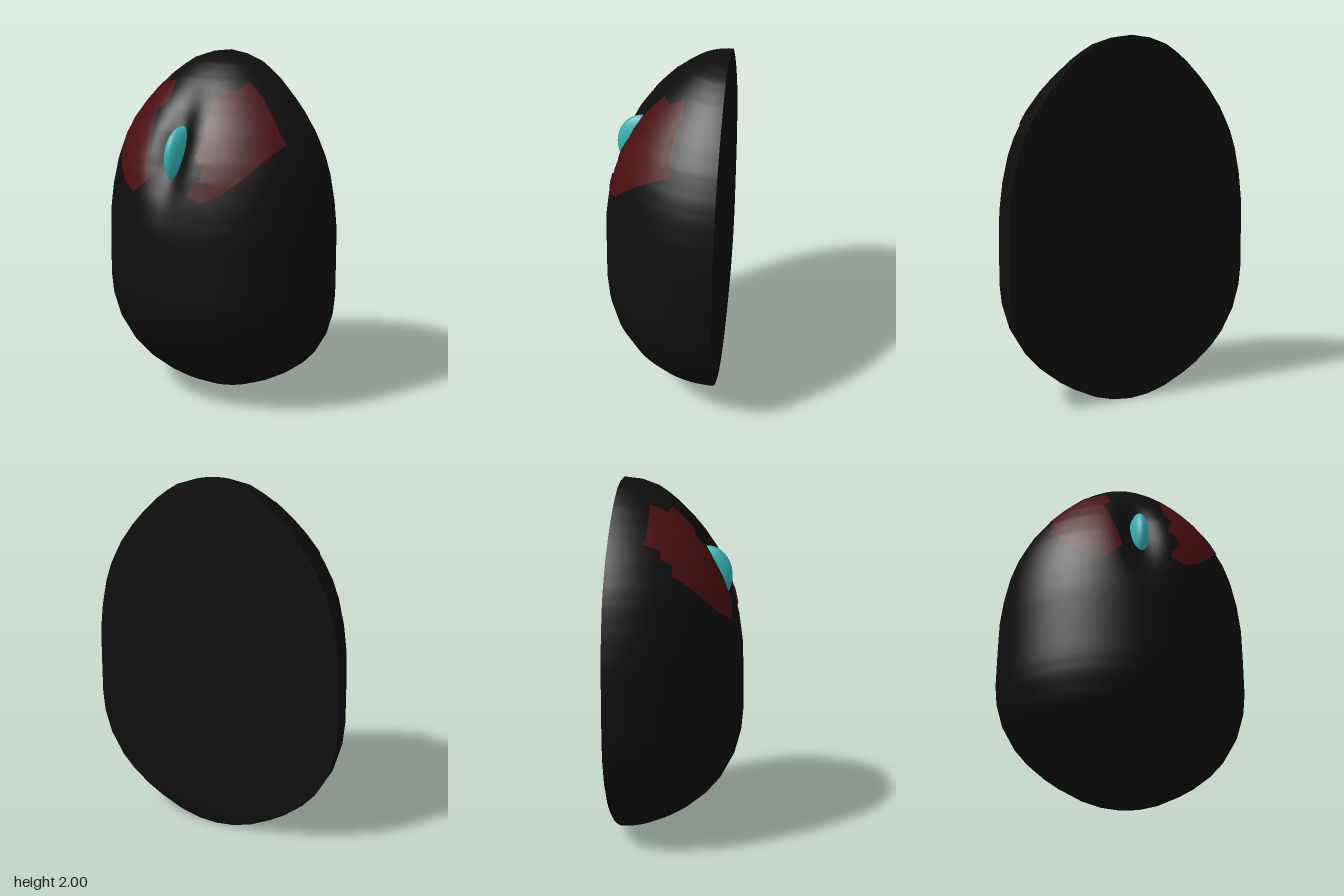
import * as THREE from 'three';
import { mergeVertices } from 'three/addons/utils/BufferGeometryUtils.js';

const HALF_WIDTH = 0.725, DEPTH = 0.67, BACK = -0.335;

// Egg outline: [height, fraction of full width]
const PROFILE = [
  [0, 0], [0.01, 0.15], [0.04, 0.3], [0.1, 0.475], [0.15, 0.59], [0.23, 0.73], [0.31, 0.83], [0.44, 0.933],
  [0.57, 0.985], [0.68, 1], [0.88, 0.998], [1.07, 0.993], [1.22, 0.968], [1.365, 0.925], [1.46, 0.88],
  [1.54, 0.825], [1.6, 0.78], [1.7, 0.68], [1.77, 0.595], [1.86, 0.47], [1.91, 0.38], [1.95, 0.295],
  [1.985, 0.155], [2, 0],
];

function widthAt(y) {
  for (let i = 1; i < PROFILE.length; i++) {
    const [y0, w0] = PROFILE[i - 1], [y1, w1] = PROFILE[i];
    if (y <= y1) return w0 + (w1 - w0) * (y - y0) / (y1 - y0);
  }
  return 0;
}

// Shallow hollow around the beak
const hollow = (x, y) => 0.085 * Math.exp(-0.5 * ((x / 0.07) ** 2 + ((y - 1.5) / 0.17) ** 2));

function depthAt(x, y) {
  const w = widthAt(y);
  return DEPTH * w * Math.sqrt(Math.max(0, 1 - (x / (HALF_WIDTH * w)) ** 2)) - hollow(x, y);
}

// Rounded front half of the egg
function shellGeometry() {
  const points = [];
  PROFILE.forEach(([y, w], i) => {
    if (i > 0) {
      const [py, pw] = PROFILE[i - 1];
      for (const t of [1 / 3, 2 / 3]) points.push(new THREE.Vector2(pw + (w - pw) * t, py + (y - py) * t));
    }
    points.push(new THREE.Vector2(w, y));
  });
  const g = new THREE.LatheGeometry(points, 72, -Math.PI / 2, Math.PI);
  const p = g.attributes.position;
  for (let i = 0; i < p.count; i++) {
    const x = p.getX(i) * HALF_WIDTH, y = p.getY(i);
    const dent = p.getZ(i) > 0.2 ? hollow(x, y) : 0;
    p.setXYZ(i, x, y, BACK + p.getZ(i) * DEPTH - dent);
  }
  g.computeVertexNormals();
  return g;
}

// Flat back
function backGeometry() {
  const side = s => PROFILE.map(([y, w]) => new THREE.Vector2(s * w * HALF_WIDTH, y));
  const outline = [...side(1), ...side(-1).reverse().slice(1, -1)];
  return new THREE.ShapeGeometry(new THREE.Shape(outline)).rotateY(Math.PI).translate(0, 0, BACK);
}

// Flat outline, finely divided and laid over the shell
function patchGeometry(outline) {
  const flat = new THREE.ShapeGeometry(new THREE.Shape(outline.map(([x, y]) => new THREE.Vector2(x, y)))).toNonIndexed();
  const p = flat.attributes.position;
  let tris = [];
  for (let i = 0; i < p.count; i += 3) {
    tris.push([0, 1, 2].map(k => new THREE.Vector2(p.getX(i + k), p.getY(i + k))));
  }
  const mid = (a, b) => a.clone().add(b).multiplyScalar(0.5);
  for (let n = 0; n < 4; n++) {
    tris = tris.flatMap(([a, b, c]) => {
      const ab = mid(a, b), bc = mid(b, c), ca = mid(c, a);
      return [[a, ab, ca], [ab, b, bc], [ca, bc, c], [ab, bc, ca]];
    });
  }
  const positions = tris.flat().flatMap(v => [v.x * 1.01, v.y, BACK + depthAt(v.x, v.y) * 1.01 + 0.002]);
  let g = new THREE.BufferGeometry();
  g.setAttribute('position', new THREE.Float32BufferAttribute(positions, 3));
  g = mergeVertices(g, 1e-5);
  g.computeVertexNormals();
  return g;
}

const RIGHT_PATCH = [
  [-0.48, 1.6], [-0.45, 1.645], [-0.47, 1.68], [-0.37, 1.78], [-0.265, 1.87], [-0.23, 1.83], [-0.16, 1.85],
  [-0.14, 1.74], [-0.195, 1.7], [-0.115, 1.345], [-0.22, 1.255], [-0.32, 1.3], [-0.41, 1.39], [-0.495, 1.52],
  [-0.46, 1.565],
];
const LEFT_PATCH = [
  [0.16, 1.825], [0.235, 1.815], [0.265, 1.86], [0.36, 1.78], [0.44, 1.685], [0.535, 1.55], [0.425, 1.4],
  [0.33, 1.3], [0.23, 1.255], [0.155, 1.29], [0.17, 1.35], [0.215, 1.375], [0.21, 1.445], [0.155, 1.49],
  [0.19, 1.6], [0.155, 1.645],
];

export function createModel() {
  const black = new THREE.MeshStandardMaterial({ color: 0x0e0e0e });
  black.name = 'black';
  const darkRed = new THREE.MeshStandardMaterial({ color: 0x4a0e0f, side: THREE.DoubleSide });
  darkRed.name = 'dark red';
  const teal = new THREE.MeshStandardMaterial({ color: 0x36b2b6 });
  teal.name = 'teal';

  const model = new THREE.Group();
  model.name = 'halfEgg';
  const add = (name, geometry, material) => {
    const mesh = new THREE.Mesh(geometry, material);
    mesh.name = name;
    model.add(mesh);
  };

  add('shell', shellGeometry(), black);
  add('flatBack', backGeometry(), black);
  add('rightPatch', patchGeometry(RIGHT_PATCH), darkRed);
  add('leftPatch', patchGeometry(LEFT_PATCH), darkRed);

  // Beak set in the hollow
  add('beak', new THREE.SphereGeometry(1, 32, 24).scale(0.056, 0.165, 0.14).translate(0, 1.46, 0.13), teal);
  return model;
}
